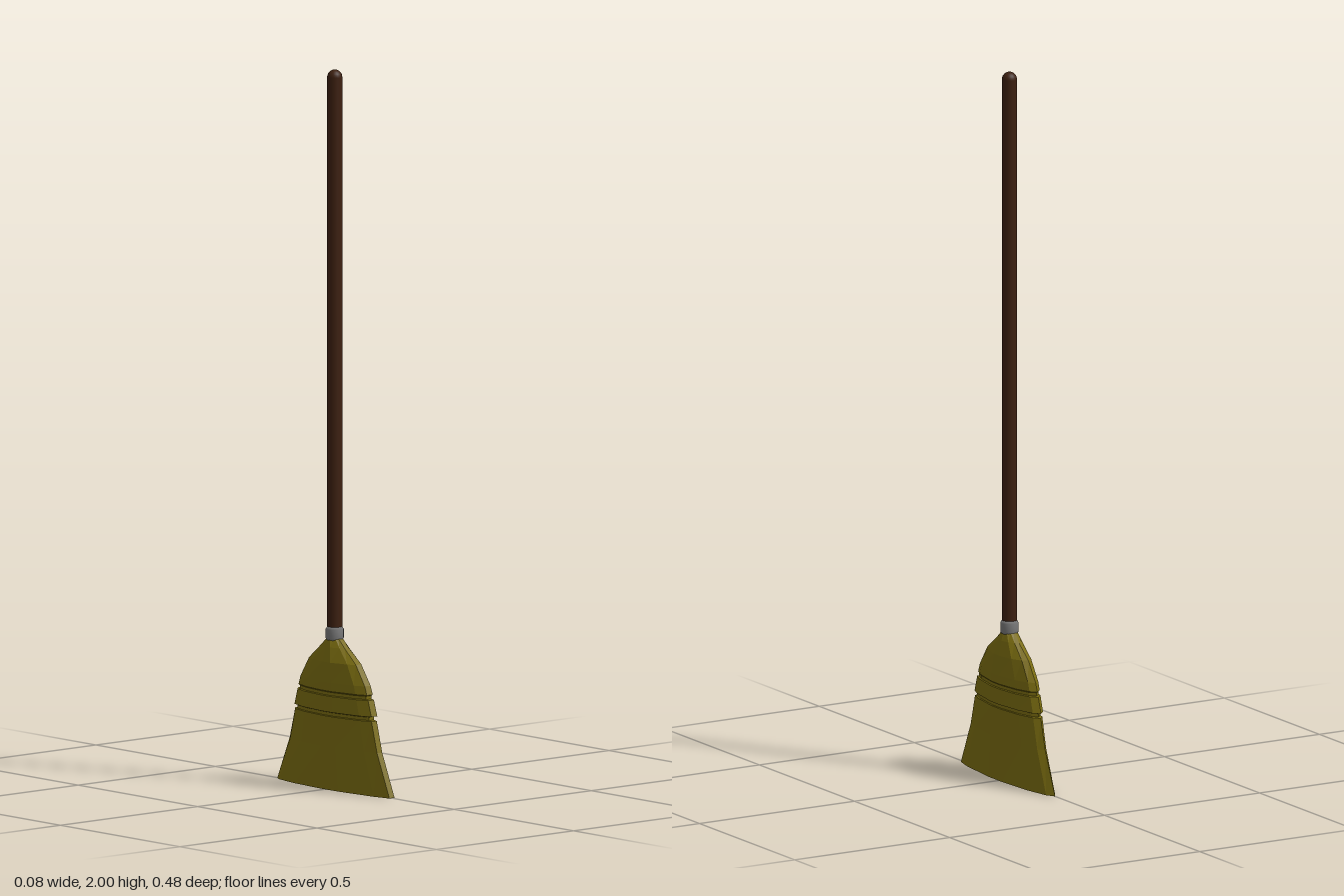
import * as THREE from 'three';

// Half outline of the brush section (x, z as fractions): pointed back, narrow flat front
const half = [[0.4, -0.9], [0.78, -0.58], [1, -0.08], [0.98, 0.22], [0.6, 0.78], [0.26, 1]];
const outline = [[0, -1], ...half, ...half.slice().reverse().map(([x, z]) => [-x, z])];

// Loft closed rings [y, half depth, half width] from bottom to top
function loft(levels) {
  const n = outline.length, pos = [], idx = [];
  for (const [y, d, w] of levels) for (const [x, z] of outline) pos.push(x * w, y, z * d);
  for (let j = 0; j < levels.length - 1; j++) {
    for (let i = 0; i < n; i++) {
      const a = j * n + i, b = j * n + (i + 1) % n;
      idx.push(a, a + n, b, b, a + n, b + n);
    }
  }
  // End caps
  const last = (levels.length - 1) * n, c = levels.length * n;
  pos.push(0, levels[0][0], 0, 0, levels[levels.length - 1][0], 0);
  for (let i = 0; i < n; i++) {
    const k = (i + 1) % n;
    idx.push(c, i, k, c + 1, last + k, last + i);
  }
  const g = new THREE.BufferGeometry();
  g.setAttribute('position', new THREE.Float32BufferAttribute(pos, 3));
  g.setIndex(idx);
  const flat = g.toNonIndexed();
  flat.computeVertexNormals();
  return flat;
}

export function createModel() {
  const group = new THREE.Group();
  const add = (name, geometry, color, flatShading = false) => {
    const mesh = new THREE.Mesh(geometry, new THREE.MeshStandardMaterial({ color, flatShading }));
    mesh.name = name;
    group.add(mesh);
    return mesh;
  };

  // Flared bristles with two binding grooves and a tapered shoulder
  add('bristles', loft([
    [0, 0.24, 0.036], [0.12, 0.188, 0.036], [0.205, 0.165, 0.037],
    [0.207, 0.155, 0.035], [0.216, 0.155, 0.035], [0.218, 0.166, 0.041],
    [0.262, 0.152, 0.041],
    [0.264, 0.143, 0.038], [0.273, 0.143, 0.038], [0.276, 0.147, 0.041],
    [0.3, 0.138, 0.041], [0.355, 0.1, 0.038], [0.395, 0.05, 0.028], [0.42, 0.021, 0.021],
  ]), 0x7a6c10, true);

  // Metal collar
  const collar = [[0, 0.412], [0.022, 0.412], [0.025, 0.418], [0.025, 0.443], [0.021, 0.45], [0, 0.45]];
  add('collar', new THREE.LatheGeometry(collar.map(p => new THREE.Vector2(...p)), 20), 0x777777);

  // Round handle with a domed end
  const r = 0.021, profile = [new THREE.Vector2(0, 0.42), new THREE.Vector2(r, 0.42)];
  for (let i = 0; i <= 6; i++) {
    const a = i / 6 * Math.PI / 2;
    profile.push(new THREE.Vector2(r * Math.cos(a), 2 - r + r * Math.sin(a)));
  }
  add('handle', new THREE.LatheGeometry(profile, 20), 0x3d2010);

  return group;
}
